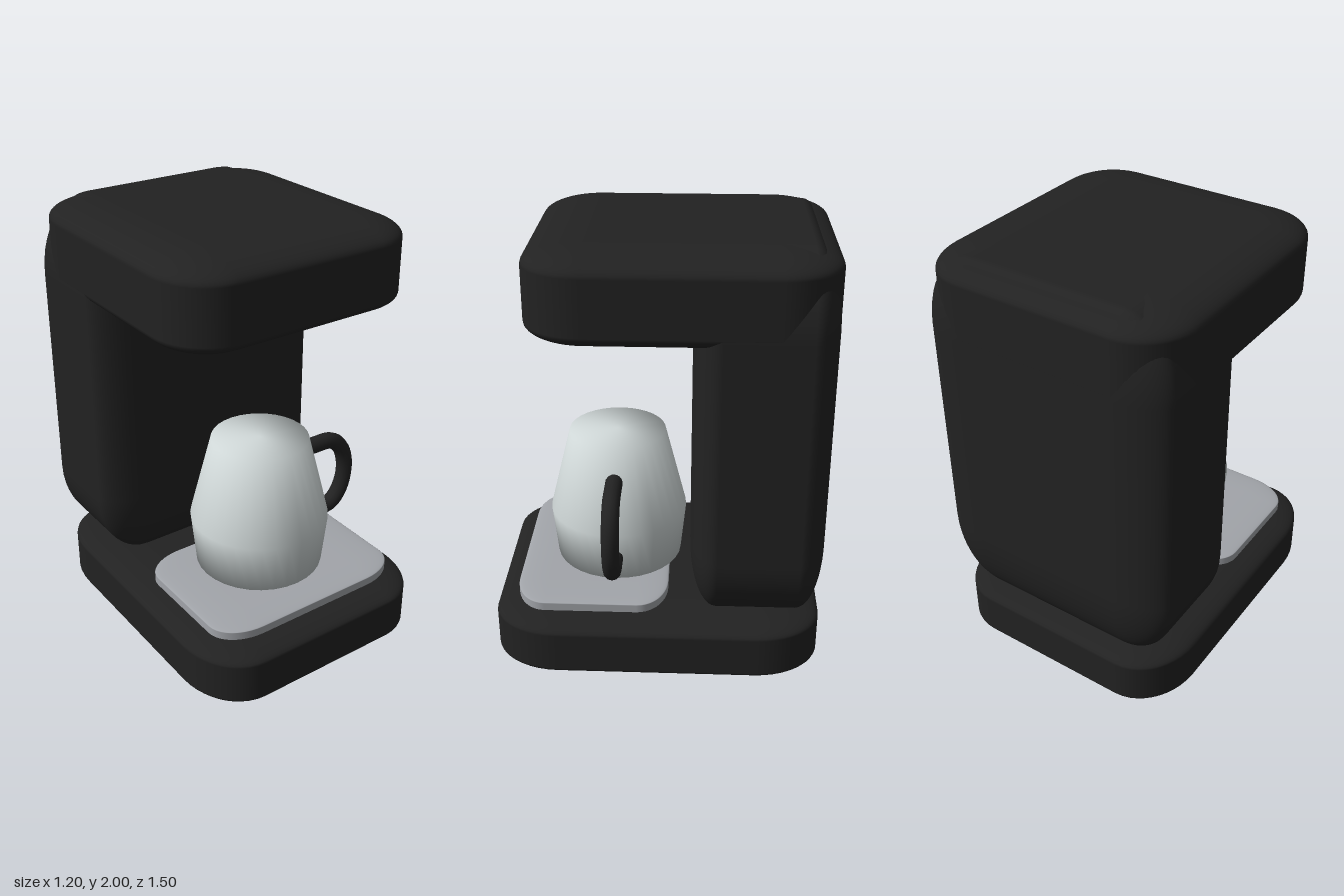
import * as THREE from 'three';
import { RoundedBoxGeometry } from 'three/addons/geometries/RoundedBoxGeometry.js';

const material = (name, color) => {
  const m = new THREE.MeshStandardMaterial({ color });
  m.name = name;
  return m;
};

export function createModel() {
  const black = material('black plastic', 0x222222);
  const steel = material('grey tray metal', 0xa2a5aa);
  const ceramic = material('pale carafe', 0xd0d8d8);
  const model = new THREE.Group();
  model.name = 'coffeeMachine';

  const add = (name, geometry, mat, parent = model) => {
    const mesh = new THREE.Mesh(geometry, mat);
    mesh.name = name;
    parent.add(mesh);
    return mesh;
  };

  // Soft block: a rounded unit cube stretched to size, so its corners stretch too
  const block = (name, mat, [w, h, d], y, z) => {
    const geometry = new RoundedBoxGeometry(1, 1, 1, 6, 0.2);
    geometry.scale(w, h, d);
    add(name, geometry, mat).position.set(0, y + h / 2, z);
  };

  // Housing and drip tray
  block('base', black, [1.2, 0.3, 1.5], 0, 0);
  block('column', black, [1.2, 1.7, 0.6], 0.3, -0.45);
  block('head', black, [1.2, 0.4, 1.3], 1.6, -0.1);
  block('tray', steel, [1, 0.06, 0.7], 0.3, 0.3);

  // Carafe with a closed, softly shaded top
  const carafe = new THREE.Group();
  carafe.name = 'carafe';
  carafe.position.z = 0.2;
  model.add(carafe);
  const profile = [[0, 0.36], [0.3, 0.36], [0.325, 0.6], [0.225, 1], [0, 1]]
    .map(([r, y]) => new THREE.Vector2(r, y));
  add('carafeBody', new THREE.LatheGeometry(profile, 32), ceramic, carafe);

  // Handle on the model's left, with rounded ends
  const path = new THREE.CurvePath();
  const v = (x, y) => new THREE.Vector3(x, y, 0);
  path.add(new THREE.LineCurve3(v(0.26, 0.85), v(0.38, 0.85)));
  path.add(new THREE.CubicBezierCurve3(v(0.38, 0.85), v(0.47, 0.85), v(0.52, 0.76), v(0.52, 0.665)));
  path.add(new THREE.CubicBezierCurve3(v(0.52, 0.665), v(0.52, 0.57), v(0.47, 0.48), v(0.4, 0.48)));
  path.add(new THREE.LineCurve3(v(0.4, 0.48), v(0.3, 0.48)));
  add('handle', new THREE.TubeGeometry(path, 40, 0.04, 12), black, carafe);
  for (const [x, y] of [[0.26, 0.85], [0.3, 0.48]]) {
    add('handleEnd', new THREE.SphereGeometry(0.04, 12, 8), black, carafe).position.set(x, y, 0);
  }

  return model;
}
